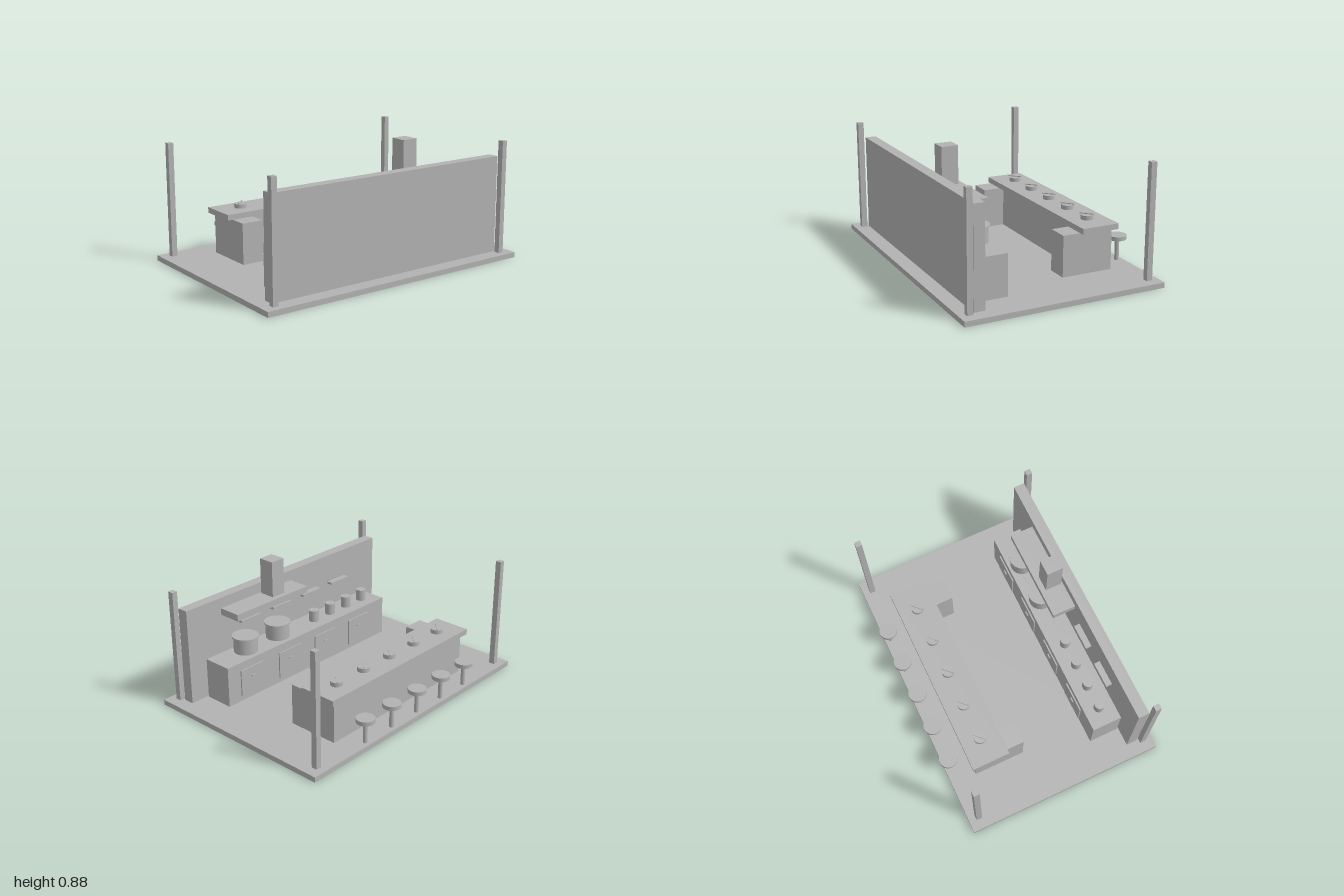
import * as THREE from 'three';

export function createModel() {
  const model = new THREE.Group();
  model.name = 'noodleStall';
  const grey = new THREE.MeshStandardMaterial({ color: 0xb2b2b2 });
  grey.name = 'plain grey';

  const add = (name, geometry, x, y, z) => {
    const mesh = new THREE.Mesh(geometry, grey);
    mesh.name = name;
    mesh.position.set(x, y, z);
    model.add(mesh);
    return mesh;
  };
  // Box given by its lower and upper limits on each axis
  const box = (name, x0, x1, y0, y1, z0, z1) =>
    add(name, new THREE.BoxGeometry(x1 - x0, y1 - y0, z1 - z0),
      (x0 + x1) / 2, (y0 + y1) / 2, (z0 + z1) / 2);
  // Upright cylinder between two heights
  const cyl = (name, x, z, r, y0, y1) =>
    add(name, new THREE.CylinderGeometry(r, r, y1 - y0, 28), x, (y0 + y1) / 2, z);

  const floor = 0.036, counterTop = 0.316;

  // Floor, wall and corner posts
  box('floor', -1, 1, 0, floor, -0.68, 0.7);
  box('wall', -0.905, 0.905, floor, 0.7, 0.522, 0.597);
  for (const x of [-0.914, 0.914])
    for (const z of [-0.611, 0.632])
      box('cornerPost', x - 0.019, x + 0.019, floor, 0.81, z - 0.02, z + 0.02);

  // Kitchen counter with cupboard doors and handles
  box('kitchenCounter', -0.774, 0.772, floor, counterTop, 0.306, 0.512);
  for (let i = 0; i < 4; i++) {
    const x = -0.493 + i * 0.351;
    box('cupboardDoor', x - 0.104, x + 0.104, 0.071, 0.259, 0.297, 0.306);
    box('doorHandle', x - 0.017, x + 0.017, 0.191, 0.199, 0.289, 0.297);
  }

  // Stock pots with lids
  for (const x of [0.225, 0.52]) {
    cyl('stockPot', x, 0.403, 0.081, 0.325, 0.428);
    cyl('potLid', x, 0.403, 0.09, 0.428, 0.439);
  }

  // Small jars and wall shelves
  for (let i = 0; i < 4; i++) {
    cyl('jar', -0.647 + i * 0.168, 0.409, 0.035, counterTop, 0.397);
    const x = -0.495 + i * 0.294;
    box('wallShelf', x - 0.088, x + 0.088, 0.483, 0.499, 0.48, 0.522);
  }

  // Extractor hood and chimney
  box('hood', -0.03, 0.616, 0.58, 0.627, 0.362, 0.522);
  box('chimney', 0.155, 0.263, 0.627, 0.877, 0.398, 0.51);

  // Serving counter: front panel, two wings and a worktop
  box('servingCounter', -0.645, 0.645, floor, counterTop, -0.505, -0.3);
  for (const s of [-1, 1])
    box('counterWing', s * 0.57 - 0.075, s * 0.57 + 0.075, floor, counterTop, -0.3, -0.148);
  box('worktop', -0.682, 0.682, counterTop, 0.354, -0.531, -0.27);

  // Place settings and stools
  for (let i = -2; i <= 2; i++) {
    const x = i * 0.2535;
    cyl('bowl', x, -0.402, 0.041, 0.354, 0.383);
    const sticks = box('chopsticks', x - 0.048, x + 0.048, 0.386, 0.392, -0.406, -0.398);
    sticks.rotation.y = Math.PI / 4;
    cyl('stoolSeat', x, -0.64, 0.061, 0.182, 0.21);
    cyl('stoolPole', x, -0.64, 0.015, floor, 0.182);
  }

  return model;
}
